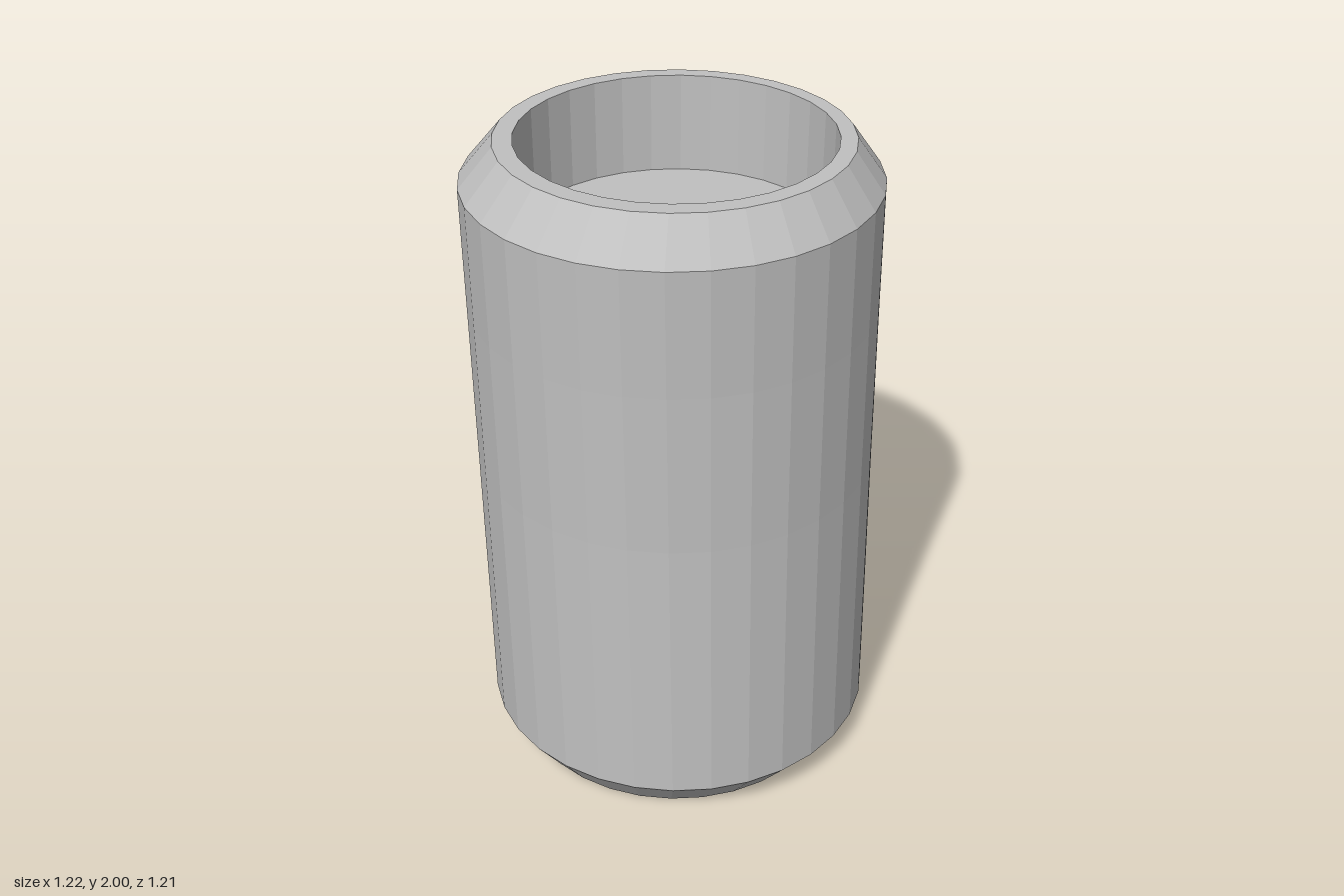
import * as THREE from 'three';

const SIDES = 32;

// Ring: [radius, height, centre x, centre z]; the rings wander slightly, so the body leans a little.
const RINGS = {
  baseCentre: [0, 0, 0, 0.005],
  baseEdge: [0.505, 0, 0, 0.005],
  bodyBottom: [0.6, 0.12, 0.008, 0.008],
  bodyLow: [0.6, 0.44, 0.006, 0.004],
  bodyMiddle: [0.6, 1.0, 0.003, -0.005],
  bodyHigh: [0.6, 1.5, -0.004, -0.004],
  bodyTop: [0.6, 1.88, -0.012, 0.002],
  rimOuter: [0.507, 2, -0.006, 0.007],
  rimInner: [0.455, 2, 0, 0.005],
  floorEdge: [0.453, 1.7, 0, 0.005],
  floorCentre: [0, 1.7, 0, 0.005],
};

// Turned surface through the named rings, each ring shifted to its own centre
function loft(name, ringNames, material) {
  const rings = ringNames.map((key) => RINGS[key]);
  const geometry = new THREE.LatheGeometry(rings.map(([r, y]) => new THREE.Vector2(r, y)), SIDES);
  const position = geometry.attributes.position;
  for (let i = 0; i < position.count; i++) {
    const [, , cx, cz] = rings[i % rings.length];
    position.setX(i, position.getX(i) + cx);
    position.setZ(i, position.getZ(i) + cz);
  }
  geometry.computeVertexNormals();
  const mesh = new THREE.Mesh(geometry, material);
  mesh.name = name;
  return mesh;
}

export function createModel() {
  const grey = new THREE.MeshStandardMaterial({ color: 0xc0c0c0 });
  grey.name = 'grey';
  grey.flatShading = true;

  const model = new THREE.Group();
  model.name = 'canister';
  model.add(
    loft('base', ['baseCentre', 'baseEdge'], grey),
    loft('lowerChamfer', ['baseEdge', 'bodyBottom'], grey),
    loft('body', ['bodyBottom', 'bodyLow', 'bodyMiddle', 'bodyHigh', 'bodyTop'], grey),
    loft('upperChamfer', ['bodyTop', 'rimOuter'], grey),
    loft('rim', ['rimOuter', 'rimInner'], grey),
    loft('recessWall', ['rimInner', 'floorEdge'], grey),
    loft('recessFloor', ['floorEdge', 'floorCentre'], grey),
  );
  return model;
}
